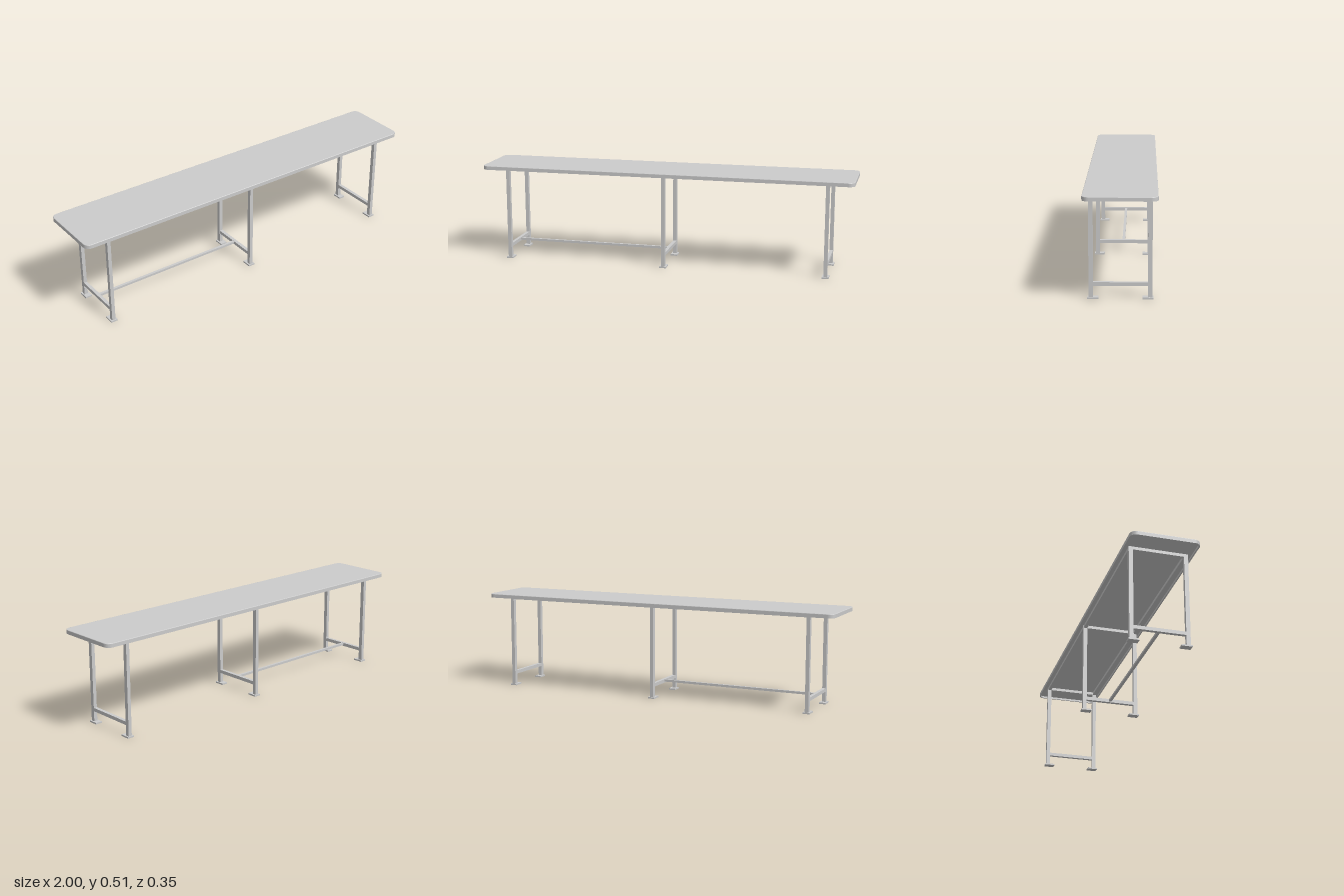
import * as THREE from 'three';

const material = new THREE.MeshStandardMaterial({ color: 0xcccccc });

function add(parent, name, geometry, x = 0, y = 0, z = 0) {
  const mesh = new THREE.Mesh(geometry, material);
  mesh.name = name;
  mesh.position.set(x, y, z);
  parent.add(mesh);
  return mesh;
}

// Box given by its size and centre
function bar(parent, name, [w, h, d], [x, y, z]) {
  return add(parent, name, new THREE.BoxGeometry(w, h, d), x, y, z);
}

// Rounded rectangle outline with half sizes a, b and corner radius r
function outline(Type, a, b, r) {
  const s = new Type();
  s.absarc(a - r, b - r, r, 0, Math.PI / 2);
  s.absarc(-a + r, b - r, r, Math.PI / 2, Math.PI);
  s.absarc(-a + r, -b + r, r, Math.PI, Math.PI * 1.5);
  s.absarc(a - r, -b + r, r, Math.PI * 1.5, Math.PI * 2);
  s.closePath();
  return s;
}

function createTop() {
  const top = new THREE.Group();
  top.name = 'tableTop';

  // Sheet with softened edges
  const bevel = 0.003;
  const sheet = new THREE.ExtrudeGeometry(outline(THREE.Shape, 1 - bevel, 0.176 - bevel, 0.03), {
    depth: 0.004, bevelEnabled: true, bevelThickness: bevel, bevelSize: bevel,
    bevelSegments: 3, curveSegments: 8,
  });
  sheet.rotateX(-Math.PI / 2);
  add(top, 'topSheet', sheet, 0, 0.506, 0);

  // Turned-down lip around the sheet
  const ring = outline(THREE.Shape, 1, 0.176, 0.033);
  ring.holes.push(outline(THREE.Path, 0.993, 0.169, 0.026));
  const lip = new THREE.ExtrudeGeometry(ring, { depth: 0.016, bevelEnabled: false, curveSegments: 8 });
  lip.rotateX(-Math.PI / 2);
  add(top, 'topLip', lip, 0, 0.492, 0);
  return top;
}

// Pair of legs with feet, lower crossbar and upper crossbar
function createLegFrame(x) {
  const frame = new THREE.Group();
  frame.name = 'legFrame';
  frame.position.x = x;
  for (const side of [1, -1]) {
    bar(frame, 'leg', [0.019, 0.498, 0.021], [0, 0.255, side * 0.14]);
    bar(frame, 'foot', [0.036, 0.008, 0.053], [0, 0.004, side * 0.13]);
  }
  bar(frame, 'lowerCrossbar', [0.018, 0.018, 0.262], [0, 0.071, 0]);
  bar(frame, 'upperCrossbar', [0.018, 0.017, 0.262], [0, 0.4955, 0]);
  return frame;
}

export function createModel() {
  const model = new THREE.Group();
  model.name = 'longTable';
  model.add(createTop());

  const ends = [-0.863, 0, 0.863];
  for (const x of ends) model.add(createLegFrame(x));

  // Long rails below the top
  for (const side of [1, -1]) {
    bar(model, 'topRail', [1.726, 0.017, 0.019], [0, 0.4955, side * 0.14]);
  }

  // Single floor-level stretcher joining two of the frames
  bar(model, 'stretcher', [0.85, 0.012, 0.014], [-0.4315, 0.073, 0]);
  return model;
}
